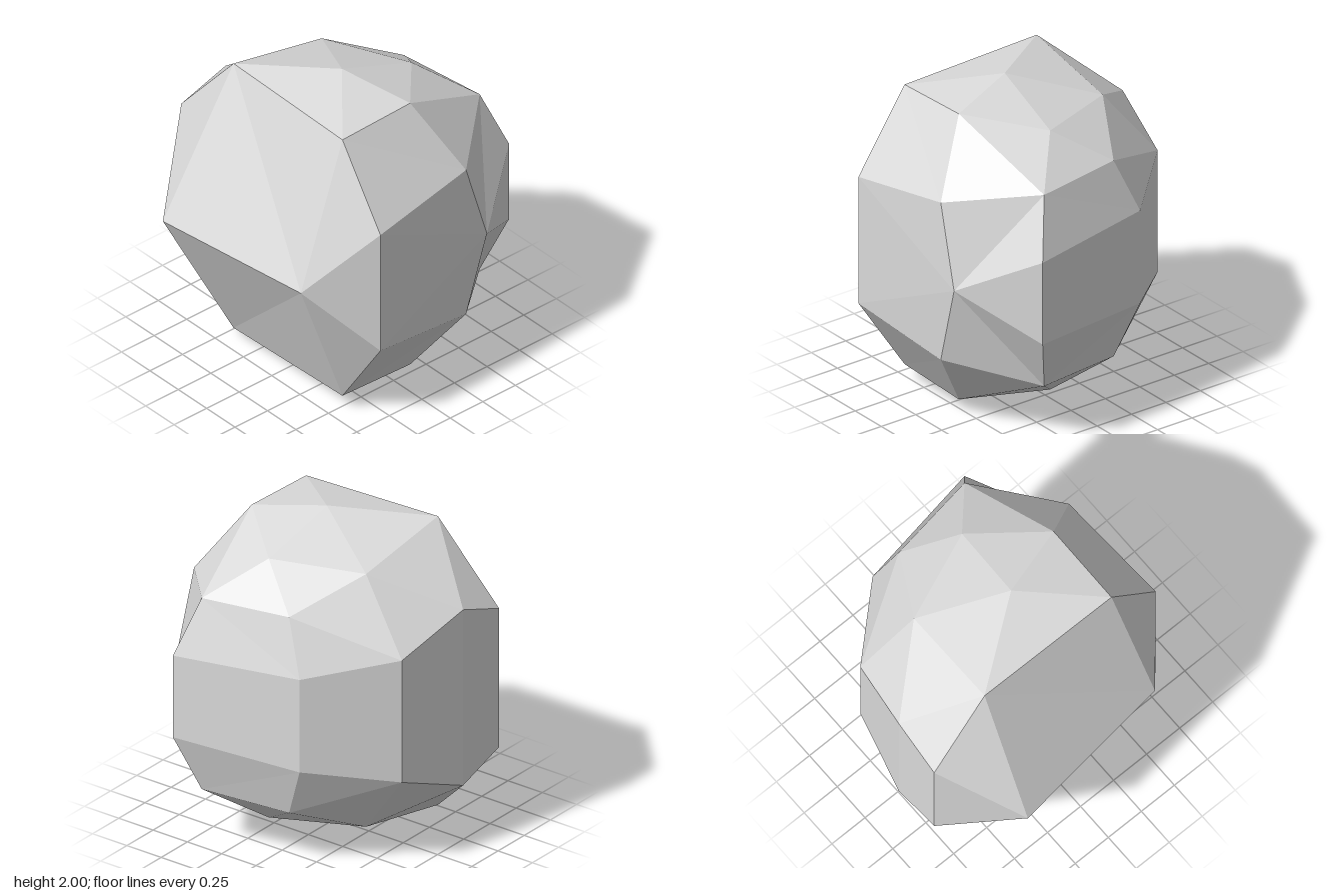
import * as THREE from 'three';

// Corners of the upper half; those at y = 1 lie on the mirror plane.
const corners = {
  A: [-0.41, 1.937, -0.44], B: [-0.41, 1.907, 0.52], C: [-0.03, 2.0, 0.08],
  D: [0.11, 1.926, 0.52], E: [0.465, 1.84, 0.125], F: [0.25, 1.82, -0.42],
  G: [0.757, 1.62, 0.39], H: [0.67, 1.635, -0.18], I: [0.888, 1.265, 0.5],
  J: [0.747, 1.3, -0.315], K: [0.34, 1.395, -0.75], L: [-0.12, 1.57, -0.845],
  M: [-0.45, 1.45, -0.855], N: [-0.888, 1, -0.515], O: [0.447, 1, 0.81],
  P: [0.3, 1.51, 0.795], Q: [-0.41, 1.41, 0.855], R: [-0.76, 1, 0.555],
};

// Upper facets, repeated below the mirror plane.
const facets = ('ABC BDC DEC CEF CFA DGE EGH EHF ' +
  'BQP BPD PGD PGO OGI QPO RQB RBA RAN NAM ' +
  'AML ALF FLK FKH HKJ HJG GJI').split(' ');

// Wall facets joining the halves; lower case means a mirrored corner.
const walls = 'QqO RQq OIi IiJ iJj JjK jKk KkL kLl LlM lMm MmN'.split(' ');

function corner(name) {
  const [x, y, z] = corners[name.toUpperCase()];
  return new THREE.Vector3(x, name === name.toUpperCase() ? y : 2 - y, z);
}

function rockGeometry() {
  const points = [];
  const centre = new THREE.Vector3(0, 1, 0);
  const normal = new THREE.Vector3();
  for (const face of [...facets, ...facets.map((f) => f.toLowerCase()), ...walls]) {
    const [a, b, c] = [...face].map(corner);
    // Turn every facet outwards.
    new THREE.Triangle(a, b, c).getNormal(normal);
    const middle = a.clone().add(b).add(c).divideScalar(3).sub(centre);
    points.push(...(normal.dot(middle) > 0 ? [a, b, c] : [a, c, b]));
  }
  // Unshared corners give one flat normal per facet.
  const geometry = new THREE.BufferGeometry().setFromPoints(points);
  geometry.computeVertexNormals();
  return geometry;
}

export function createModel() {
  const stone = new THREE.MeshStandardMaterial({ color: 0xd9d9d9 });
  stone.name = 'pale stone grey';
  const rock = new THREE.Mesh(rockGeometry(), stone);
  rock.name = 'rock';
  const model = new THREE.Group();
  model.name = 'facetedRock';
  model.add(rock);
  return model;
}
